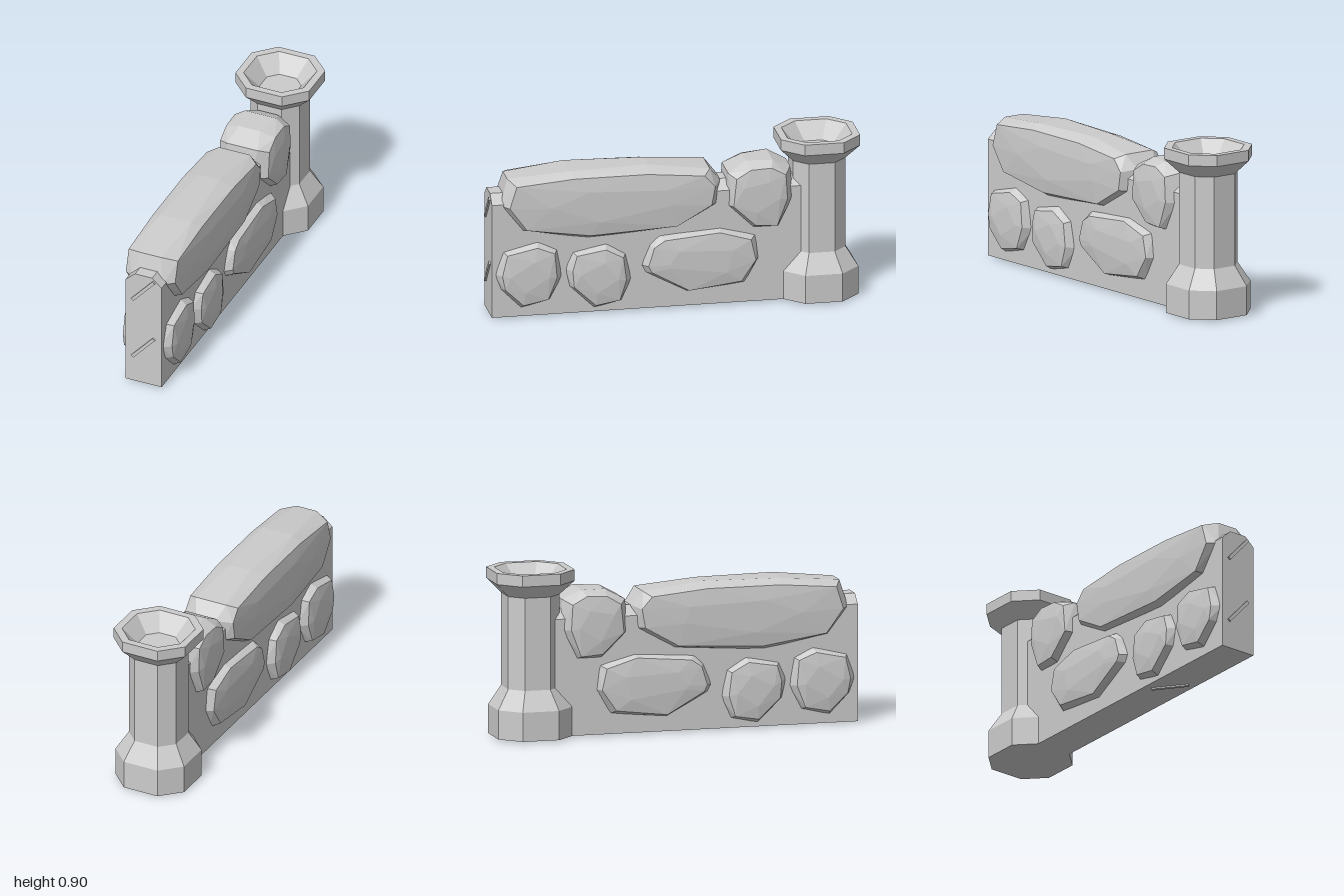
import * as THREE from 'three';
import { ConvexGeometry } from 'three/addons/geometries/ConvexGeometry.js';

const material = new THREE.MeshStandardMaterial({ color: 0xcccccc, flatShading: true });

function add(group, geometry, name) {
  const mesh = new THREE.Mesh(geometry, material);
  mesh.name = name;
  group.add(mesh);
  return mesh;
}

// Stone running through the wall: a [z, y] outline, bevelled towards both faces
function stoneGeometry(outline) {
  const box = new THREE.Box2().setFromPoints(outline.map(([z, y]) => new THREE.Vector2(z, y)));
  const mid = box.getCenter(new THREE.Vector2());
  const half = box.getSize(new THREE.Vector2()).multiplyScalar(0.5);
  const points = [];
  for (const side of [-1, 1]) {
    outline.forEach(([z, y], i) => {
      const put = (x, sz, sy) =>
        points.push(new THREE.Vector3(side * x, mid.y + (y - mid.y) * sy, mid.x + (z - mid.x) * sz));
      put(i % 2 ? 0.06 : 0.09, 1, 1);
      put(0.143, 1 - 0.04 / half.x, 1 - 0.028 / half.y);
      if (i % 2 === 0) put(0.155, 0.55, 0.45);
    });
  }
  return new ConvexGeometry(points);
}

// Thin slanted strip centred at the origin in the XY plane
function stripGeometry(dx, dy) {
  const strip = new THREE.BoxGeometry(Math.hypot(dx, dy), 0.018, 0.02);
  return strip.rotateZ(Math.atan2(dy, dx));
}

export function createModel() {
  const model = new THREE.Group();
  model.name = 'stoneWallEnd';

  // Wall core with chamfered top
  const section = new THREE.Shape([
    [-0.105, 0.008], [0.105, 0.008], [0.105, 0.64], [0.05, 0.69], [-0.05, 0.69], [-0.105, 0.64],
  ].map(([x, y]) => new THREE.Vector2(x, y)));
  const core = new THREE.ExtrudeGeometry(section, { depth: 1.74, bevelEnabled: false });
  add(model, core.translate(0, 0, -0.75), 'wallCore');

  // Octagonal pillar with a hollow bowl on top; profile is half-width, height
  const profile = [
    [0, 0.008], [0.205, 0.008], [0.205, 0.165], [0.142, 0.27], [0.142, 0.77],
    [0.214, 0.845], [0.214, 0.905], [0.175, 0.905], [0.1, 0.815], [0, 0.815],
  ].map(([w, y]) => new THREE.Vector2(w / Math.cos(Math.PI / 8), y));
  const pillar = new THREE.LatheGeometry(profile, 8, Math.PI / 8);
  // Widen the axis-facing sides so the corner cuts are shorter
  const pos = pillar.attributes.position;
  for (let i = 0; i < pos.count; i++) {
    const x = pos.getX(i), z = pos.getZ(i), stretch = 0.49 / Math.tan(Math.PI / 8);
    if (Math.abs(x) < Math.abs(z)) pos.setX(i, x * stretch);
    else pos.setZ(i, z * stretch);
  }
  pillar.computeVertexNormals();
  add(model, pillar, 'pillar').position.z = -0.786;

  // Stones
  const stones = {
    longTopStone: [[0.94, 0.63], [0.9, 0.77], [0.57, 0.8], [0.14, 0.8], [-0.19, 0.765],
      [-0.25, 0.69], [-0.23, 0.57], [-0.03, 0.445], [0.47, 0.42], [0.84, 0.48]],
    smallTopStone: [[-0.29, 0.73], [-0.39, 0.785], [-0.53, 0.79], [-0.63, 0.74],
      [-0.64, 0.58], [-0.57, 0.41], [-0.42, 0.42], [-0.27, 0.55]],
    frontLowerStone: [[0.98, 0.25], [0.945, 0.385], [0.74, 0.425], [0.62, 0.38],
      [0.605, 0.22], [0.665, 0.08], [0.835, 0.05], [0.96, 0.16]],
    middleLowerStone: [[0.6, 0.26], [0.57, 0.36], [0.37, 0.39], [0.25, 0.33],
      [0.23, 0.18], [0.275, 0.05], [0.44, 0.025], [0.59, 0.155]],
    rearLowerStone: [[0.19, 0.25], [0.155, 0.37], [0.09, 0.415], [-0.25, 0.445], [-0.44, 0.385],
      [-0.47, 0.25], [-0.38, 0.115], [-0.06, 0.075], [0.17, 0.21]],
  };
  for (const [name, outline] of Object.entries(stones)) add(model, stoneGeometry(outline), name);

  // Slanted strips on the front end and the underside
  for (const y of [0.235, 0.597]) {
    add(model, stripGeometry(0.125, 0.14), 'frontStrip').position.set(0, y, 0.99);
  }
  const under = add(model, stripGeometry(0.125, -0.16), 'undersideStrip');
  under.rotation.x = -Math.PI / 2;
  under.position.set(0, 0.01, 0.41);

  return model;
}
